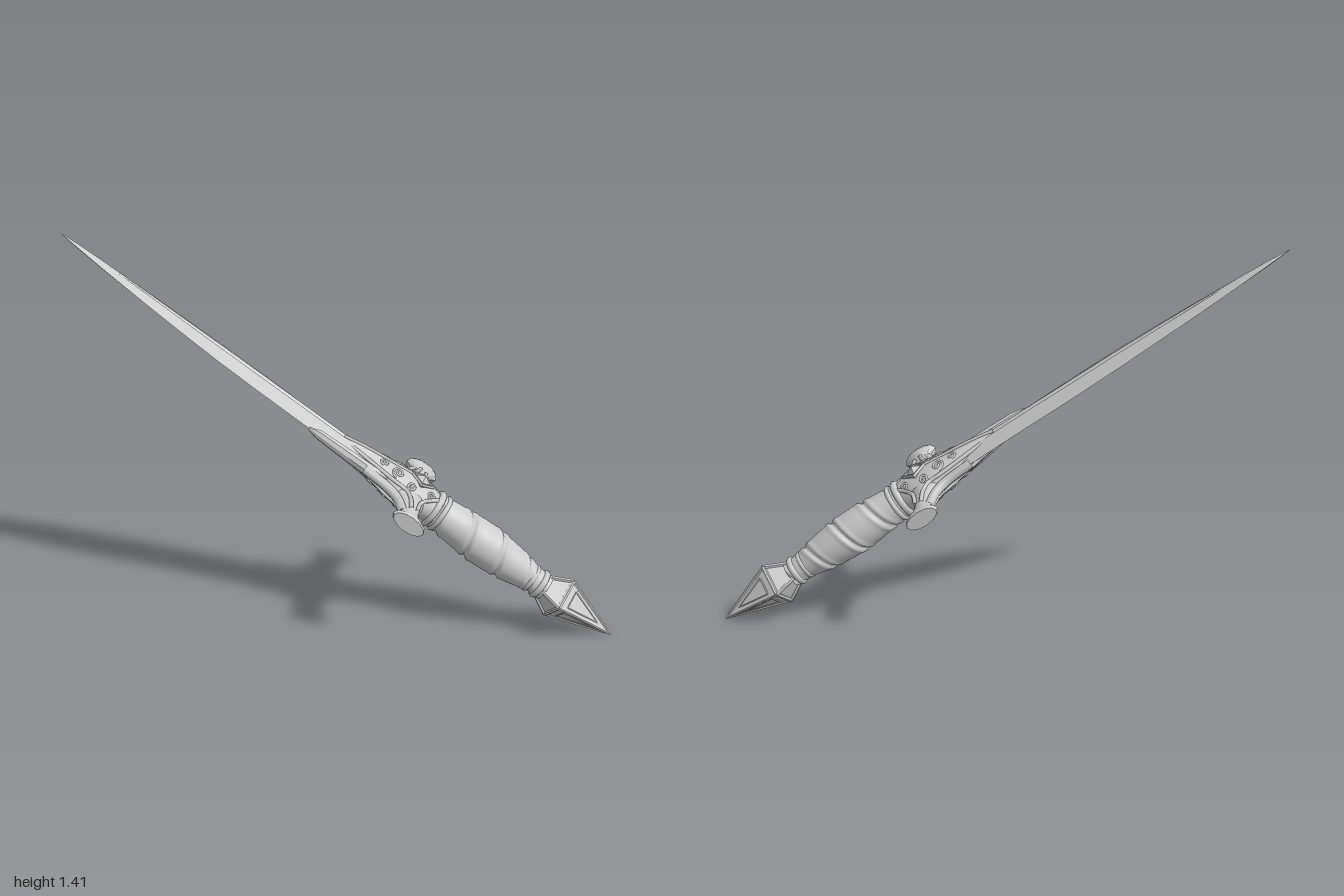
import * as THREE from 'three';
import { mergeVertices, toCreasedNormals } from 'three/addons/utils/BufferGeometryUtils.js';

const material = new THREE.MeshStandardMaterial({ color: 0xcccccc });
const facetedMaterial = new THREE.MeshStandardMaterial({ color: 0xcccccc, flatShading: true });
const V = (x, y, z) => new THREE.Vector3(x, y, z);

function add(parent, name, geometry, mat = material) {
  const mesh = new THREE.Mesh(geometry, mat);
  mesh.name = name;
  parent.add(mesh);
  return mesh;
}

// Skin a stack of rings (each running +z, +x, -z, -x) and close both ends
function loft(rings, crease) {
  const n = rings[0].length, pos = [], index = [];
  rings.forEach(ring => ring.forEach(p => pos.push(p.x, p.y, p.z)));
  for (let i = 0; i < rings.length - 1; i++) {
    for (let j = 0; j < n; j++) {
      const a = i * n + j, b = i * n + (j + 1) % n;
      index.push(a, b, a + n, b, b + n, a + n);
    }
  }
  const last = (rings.length - 1) * n;
  [0, last].forEach((base, end) => {
    const c = V(0, 0, 0);
    rings[end ? rings.length - 1 : 0].forEach(p => c.addScaledVector(p, 1 / n));
    const k = pos.length / 3;
    pos.push(c.x, c.y, c.z);
    for (let j = 0; j < n; j++) {
      const a = base + j, b = base + (j + 1) % n;
      end ? index.push(a, b, k) : index.push(b, a, k);
    }
  });
  const g = new THREE.BufferGeometry();
  g.setAttribute('position', new THREE.Float32BufferAttribute(pos, 3));
  g.setIndex(index);
  g.computeVertexNormals();
  return toCreasedNormals(g, crease);
}

// Oval sections: [y, centre x, half width, half thickness]
function ovalLoft(sections, sides = 16, crease = 0.8) {
  return loft(sections.map(([y, cx, w, h]) => Array.from({ length: sides }, (_, i) => {
    const a = i / sides * Math.PI * 2;
    return V(cx + w * Math.sin(a), y, h * Math.cos(a));
  })), crease);
}

function tube(points, radius, segments = 24) {
  return new THREE.TubeGeometry(new THREE.CatmullRomCurve3(points), segments, radius, 6);
}

function makeBlade(parent) {
  // [distance, -x edge, +x edge, half thickness, groove floor]
  const stations = [
    [0.98, 0.070, 0.075, 0.028, 0.5], [1.08, 0.080, 0.085, 0.028, 0.5],
    [1.25, 0.076, 0.085, 0.027, 0.5], [1.40, 0.076, 0.090, 0.026, 0.5],
    [1.56, 0.074, 0.095, 0.024, 0.5], [1.74, 0.067, 0.094, 0.022, 0.55],
    [1.91, 0.050, 0.088, 0.019, 0.65], [2.08, 0.027, 0.081, 0.016, 0.8],
    [2.26, -0.003, 0.068, 0.011, 1], [2.38, -0.028, 0.055, 0.006, 1],
    [2.447, -0.044, 0.046, 0.001, 1]
  ];
  const rings = stations.map(([y, l, r, h, g]) => {
    const mid = (r - l) / 2, w = (r + l) / 2, k = 0.17;
    return [[0, g], [k, 1], [1, 0], [k, -1], [0, -g], [-k, -1], [-1, 0], [-k, 1]]
      .map(([x, z]) => V(mid + w * x, y, h * z));
  });
  add(parent, 'blade', loft(rings, 0.25));
  // Raised sleeve along one cutting edge at the base
  add(parent, 'bladeSleeve', ovalLoft([
    [1.00, -0.062, 0.022, 0.026], [1.15, -0.066, 0.018, 0.024],
    [1.30, -0.067, 0.014, 0.019], [1.345, -0.073, 0.004, 0.006]
  ], 8, 0.5));
}

// Central guard body: [distance, half width, half thickness]
const body = [[0.79, 0.055, 0.052], [0.85, 0.085, 0.062], [0.92, 0.108, 0.066], [0.97, 0.098, 0.062],
  [1.04, 0.072, 0.053], [1.12, 0.042, 0.044], [1.21, 0.008, 0.030]];

// Point on the guard body surface, u across its half width
function onBody(u, y, side) {
  let i = 0;
  while (i < body.length - 2 && y > body[i + 1][0]) i++;
  const [a, b] = [body[i], body[i + 1]];
  const f = (y - a[0]) / (b[0] - a[0]);
  const w = a[1] + (b[1] - a[1]) * f, h = a[2] + (b[2] - a[2]) * f;
  return V(u * w, y, side * h * Math.sqrt(1 - u * u));
}

function makeGuard(parent) {
  const guard = new THREE.Group();
  guard.name = 'guard';
  parent.add(guard);
  add(guard, 'guardBody', ovalLoft(body.map(([y, w, h]) => [y, 0, w, h]), 20));

  for (const s of [1, -1]) {
    // Flared cross arm
    const arm = ovalLoft([[0, -0.90, 0.075, 0.045], [0.08, -0.91, 0.065, 0.042], [0.13, -0.90, 0.042, 0.034],
      [0.19, -0.89, 0.034, 0.027], [0.225, -0.888, 0.046, 0.029], [0.25, -0.886, 0.066, 0.033],
      [0.264, -0.884, 0.062, 0.030]], 12, 0.6).rotateZ(-Math.PI / 2);
    add(guard, 'crossArm', arm).rotation.y = s > 0 ? 0 : Math.PI;

    // Shoulder sweeping from the arm to the blade edge
    add(guard, 'shoulder', tube([V(s * 0.20, 0.915, 0), V(s * 0.13, 0.945, 0),
      V(s * 0.095, 0.99, 0), V(s * 0.078, 1.10, 0)], 0.019));
  }

  for (const face of [1, -1]) {
    // Boss: square stud in a raised frame
    const boss = new THREE.CylinderGeometry(0.006, 0.045, 0.026, 4).rotateX(face * Math.PI / 2);
    add(guard, 'bossStud', boss, facetedMaterial).position.set(0, 0.90, face * 0.071);
    const frame = new THREE.TorusGeometry(0.044, 0.008, 6, 4);
    add(guard, 'bossFrame', frame, facetedMaterial).position.set(0, 0.90, face * 0.064);
    add(guard, 'spine', tube([V(0, 0.94, face * 0.064), V(0, 1.04, face * 0.053),
      V(0, 1.12, face * 0.044), V(0, 1.22, face * 0.027)], 0.007));

    for (const s of [1, -1]) {
      const rim = [0.94, 0.98, 1.04, 1.12, 1.20].map(y => onBody(s * 0.86, y, face));
      add(guard, 'upperRim', tube([V(s * 0.19, 0.90, face * 0.026), V(s * 0.13, 0.915, face * 0.034), ...rim], 0.008));
      add(guard, 'lowerRim', tube([V(s * 0.18, 0.875, face * 0.025), V(s * 0.11, 0.87, face * 0.036),
        onBody(s * 0.72, 0.84, face), onBody(s * 0.4, 0.81, face)], 0.008));
      // Curled relief between the rims
      for (const [cx, cy, size] of [[0.48, 0.99, 0.024], [0.42, 1.05, 0.017], [0.68, 0.925, 0.017], [0.5, 0.845, 0.016]]) {
        const curl = Array.from({ length: 14 }, (_, i) => {
          const a = i * 0.62, r = size * (1 - i / 17);
          return onBody(s * (cx + r * Math.cos(a) * 11), cy + r * Math.sin(a), face);
        });
        add(guard, 'scroll', tube(curl, 0.0045, 28));
      }
    }
  }
}

function makeGrip(parent) {
  // Swelling handle with a spiral groove pressed into it
  const outline = new THREE.SplineCurve([[0.048, 0.30], [0.050, 0.36], [0.066, 0.44], [0.078, 0.54],
    [0.079, 0.62], [0.070, 0.72], [0.060, 0.82]].map(p => new THREE.Vector2(...p)));
  let g = new THREE.LatheGeometry(outline.getPoints(110), 48);
  g.deleteAttribute('normal');
  g.deleteAttribute('uv');
  g = mergeVertices(g);
  const p = g.attributes.position;
  for (let i = 0; i < p.count; i++) {
    const x = p.getX(i), y = p.getY(i), z = p.getZ(i);
    const phase = y / 0.135 - Math.atan2(x, z) / (Math.PI * 2);
    const d = Math.abs(phase - Math.round(phase));
    const k = 1 - 0.12 * Math.exp(-((d / 0.05) ** 2)) + 0.04 * Math.exp(-(((d - 0.13) / 0.06) ** 2));
    p.setXYZ(i, x * k, y, z * k);
  }
  g.computeVertexNormals();
  add(parent, 'grip', g);
  // Collars at both ends
  for (const [y, r, t] of [[0.805, 0.060, 0.014], [0.775, 0.062, 0.010], [0.365, 0.045, 0.010], [0.325, 0.044, 0.013]]) {
    add(parent, 'collar', new THREE.TorusGeometry(r, t, 8, 28).rotateX(Math.PI / 2)).position.y = y;
  }
}

function makePommel(parent) {
  const pommel = new THREE.Group();
  pommel.name = 'pommel';
  parent.add(pommel);
  // Four-sided spike with a short stepped shoulder
  add(pommel, 'spike', new THREE.CylinderGeometry(0.084, 0.002, 0.235, 4), facetedMaterial).position.y = 0.1175;
  add(pommel, 'shoulder', new THREE.CylinderGeometry(0.044, 0.084, 0.075, 4), facetedMaterial).position.y = 0.2725;

  const bar = (name, a, b, r) => {
    const mesh = add(pommel, name, new THREE.CylinderGeometry(r, r, a.distanceTo(b), 6), facetedMaterial);
    mesh.position.copy(a).lerp(b, 0.5);
    mesh.quaternion.setFromUnitVectors(V(0, 1, 0), b.clone().sub(a).normalize());
  };
  for (let i = 0; i < 4; i++) {
    const at = (k, r, y) => V(r * Math.sin(k * Math.PI / 2), y, r * Math.cos(k * Math.PI / 2));
    const a = at(i, 0.084, 0.235), b = at(i + 1, 0.084, 0.235), tip = V(0, 0.006, 0);
    // Edge frame
    bar('edge', a, b, 0.008);
    bar('edge', a, tip, 0.006);
    bar('edge', a, at(i, 0.044, 0.31), 0.008);
    // Inset triangle on each face
    const c = a.clone().add(b).add(tip).divideScalar(3);
    const inner = [a, b, tip].map(q => q.clone().lerp(c, 0.42));
    inner.forEach((q, j) => bar('panelTrim', q, inner[(j + 1) % 3], 0.004));
  }
}

export function createModel() {
  const root = new THREE.Group();
  root.name = 'dagger';
  // Tilted frame: y runs from pommel tip to blade tip
  const tilted = new THREE.Group();
  tilted.name = 'tiltedDagger';
  const d = V(-2, 1.41, 0).normalize();
  const across = V(0, 0, -1);
  tilted.quaternion.setFromRotationMatrix(new THREE.Matrix4().makeBasis(across, d, across.clone().cross(d)));
  tilted.rotateY(0.1);
  tilted.position.set(1, 0, 0);
  root.add(tilted);

  makeBlade(tilted);
  makeGuard(tilted);
  // Handle leans slightly off the blade line
  const handle = new THREE.Group();
  handle.name = 'handle';
  handle.position.x = 0.03;
  handle.rotation.z = 0.032;
  tilted.add(handle);
  makeGrip(handle);
  makePommel(handle);
  return root;
}
